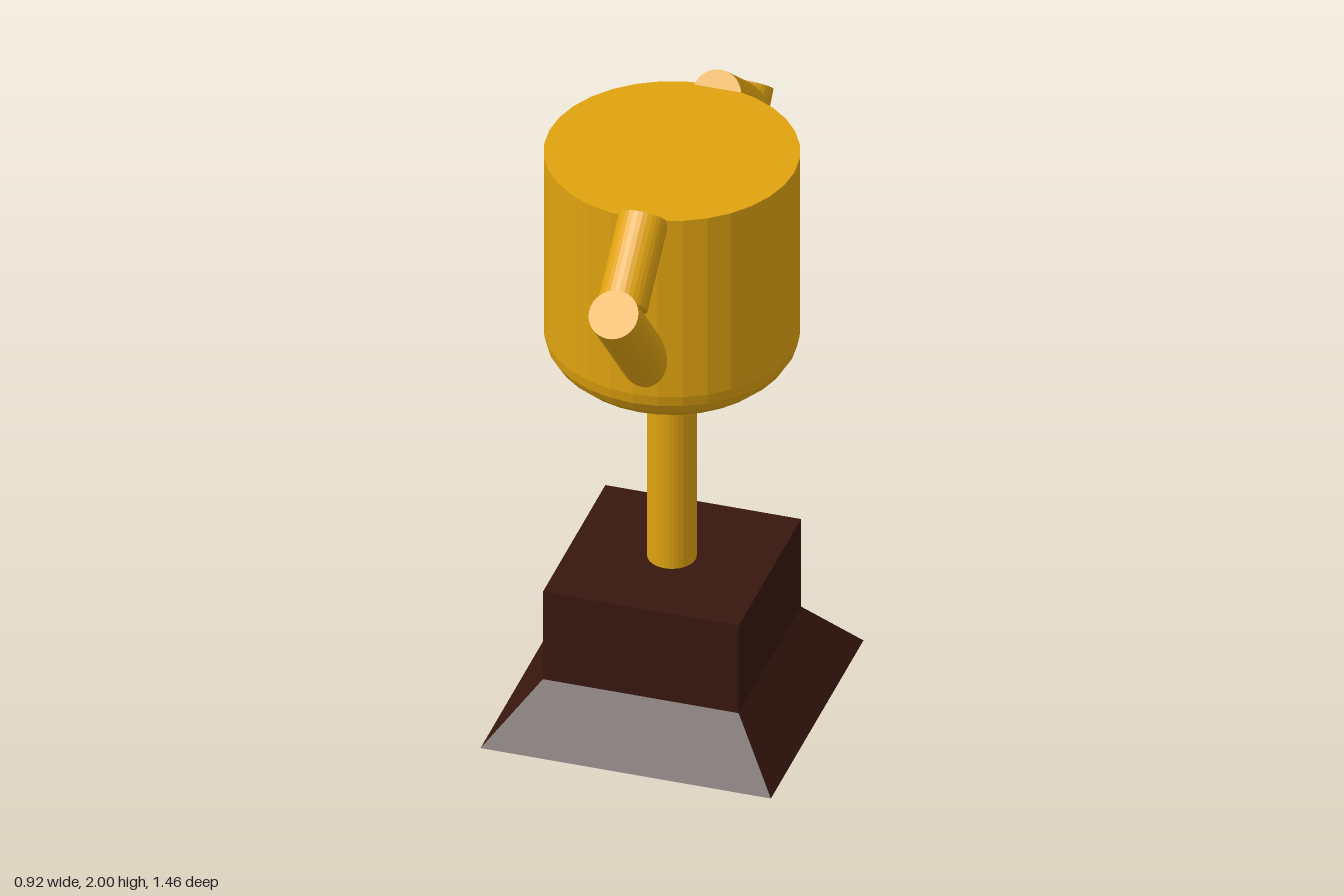
import * as THREE from 'three';

const gold = new THREE.MeshStandardMaterial({ color: 0xe0a310, flatShading: true });
const wood = new THREE.MeshStandardMaterial({ color: 0x38170e, flatShading: true });
const SIDES = 32;

function add(parent, name, geometry, material, x = 0, y = 0, z = 0) {
  const mesh = new THREE.Mesh(geometry, material);
  mesh.name = name;
  mesh.position.set(x, y, z);
  parent.add(mesh);
  return mesh;
}

// Round bar between two points given as [z, y] in the plane x = 0
function bar(parent, name, from, to, radius) {
  const a = new THREE.Vector3(0, from[1], from[0]);
  const b = new THREE.Vector3(0, to[1], to[0]);
  const dir = b.clone().sub(a);
  const mesh = add(parent, name, new THREE.CylinderGeometry(radius, radius, dir.length(), SIDES), gold);
  mesh.position.copy(a).add(b).multiplyScalar(0.5);
  mesh.quaternion.setFromUnitVectors(new THREE.Vector3(0, 1, 0), dir.normalize());
}

export function createModel() {
  const trophy = new THREE.Group();
  trophy.name = 'trophy';
  const cz = 0.008;

  // Plinth: square block on a flared foot, as one four-sided profile
  const profile = [[0, 0], [0.46, 0], [0.31, 0.185], [0.31, 0.5], [0, 0.5]]
    .map(([half, y]) => new THREE.Vector2(half * Math.SQRT2, y));
  const plinth = new THREE.LatheGeometry(profile, 4, Math.PI / 4);
  add(trophy, 'plinth', plinth, wood, 0, 0, cz);

  // Stem
  add(trophy, 'stem', new THREE.CylinderGeometry(0.075, 0.075, 0.66, SIDES), gold, 0, 0.83, cz);

  // Solid cup: flattened round bottom, straight wall, closed top
  const cup = [];
  for (let i = 0; i <= 8; i++) {
    const t = (i / 8) * Math.PI / 2;
    cup.push(new THREE.Vector2(0.388 * Math.sin(t), 1.32 - 0.19 * Math.cos(t)));
  }
  cup.push(new THREE.Vector2(0.388, 1.955), new THREE.Vector2(0, 1.955));
  add(trophy, 'cup', new THREE.LatheGeometry(cup, SIDES), gold, 0, 0, cz);

  // Angular handles, each of two bars meeting at an elbow
  const handles = [
    { name: 'frontHandle', top: [0.37, 1.943], elbow: [0.58, 1.756], tip: [0.671, 1.781], root: [0.307, 1.368] },
    { name: 'backHandle', top: [-0.352, 1.94], elbow: [-0.595, 1.748], tip: [-0.672, 1.781], root: [-0.3, 1.36] },
  ];
  for (const h of handles) {
    const handle = new THREE.Group();
    handle.name = h.name;
    handle.position.x = 0.026;
    bar(handle, 'upperBar', h.top, h.elbow, 0.077);
    bar(handle, 'lowerBar', h.root, h.tip, 0.077);
    trophy.add(handle);
  }
  return trophy;
}
